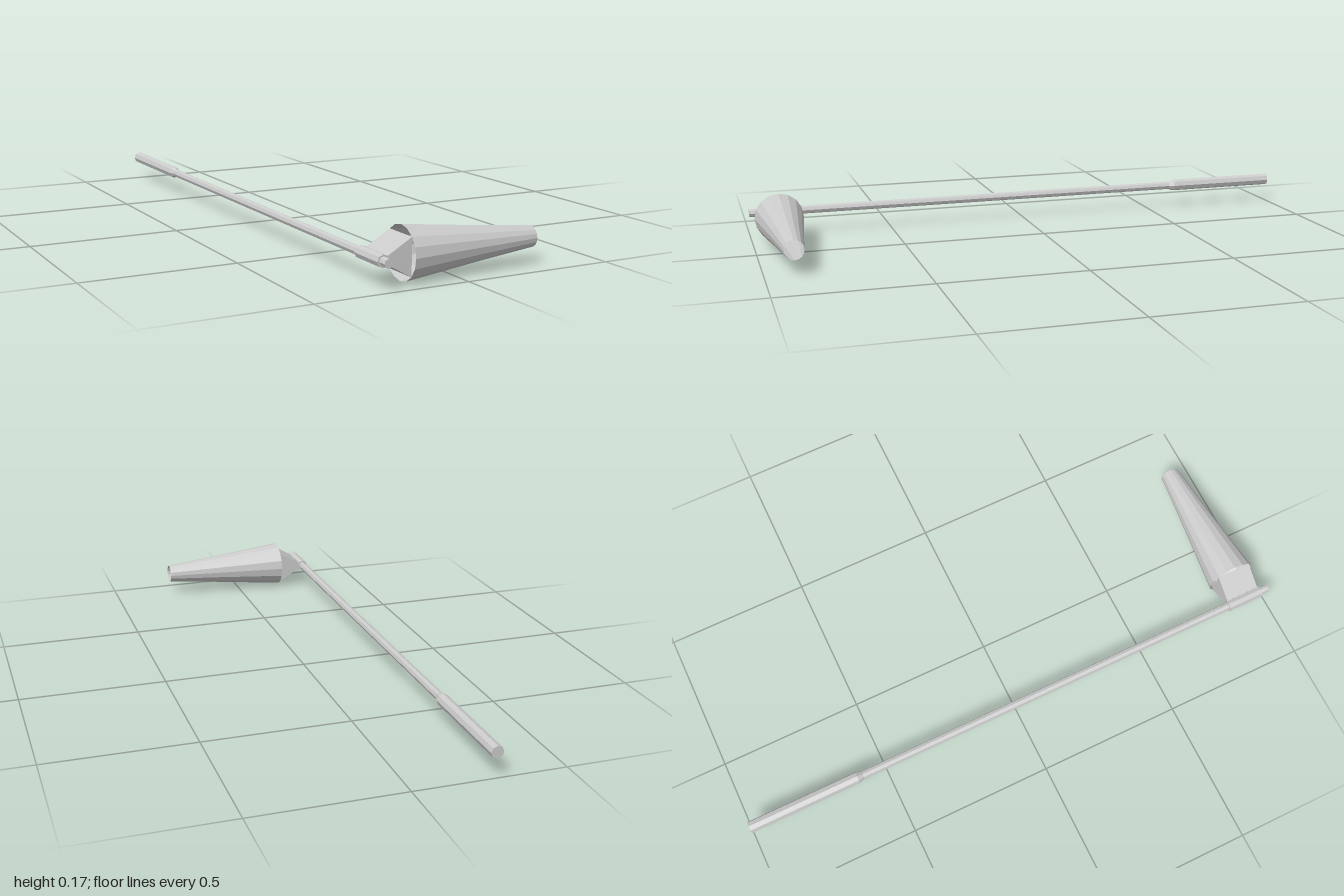
import * as THREE from 'three';

const AXIS_Y = 0.085, POLE_X = -0.267, SOCK_Z = 0.905;

function createMaterial() {
  return new THREE.MeshStandardMaterial({ color: 0xcccccc, flatShading: true, side: THREE.DoubleSide });
}

// Faceted turned part from [radius, height] pairs
function turned(name, profile, sides, material) {
  const points = profile.map(([r, h]) => new THREE.Vector2(r, h));
  const mesh = new THREE.Mesh(new THREE.LatheGeometry(points, sides), material);
  mesh.name = name;
  return mesh;
}

export function createModel() {
  const model = new THREE.Group();
  model.name = 'windsock';
  const material = createMaterial();

  // Long pole with a thicker base section, lying along z
  const pole = turned('pole', [
    [0, -1], [0.021, -1], [0.021, -0.605], [0.0145, -0.585], [0.0145, 1], [0, 1],
  ], 8, material);

  // Swivel sleeve near the pole tip
  const sleeve = turned('swivelSleeve', [
    [0.0145, 0.84], [0.02, 0.84], [0.02, 0.97], [0.0145, 0.97],
  ], 8, material);

  for (const part of [pole, sleeve]) {
    part.rotation.x = Math.PI / 2;
    part.position.set(POLE_X, AXIS_Y, 0);
    model.add(part);
  }

  // Wedge bracket between the sleeve and the sock mouth
  const outline = new THREE.Shape([
    new THREE.Vector2(-0.255, -0.011),
    new THREE.Vector2(-0.172, -0.059),
    new THREE.Vector2(-0.172, 0.059),
    new THREE.Vector2(-0.255, 0.011),
  ]);
  const bracket = new THREE.Mesh(
    new THREE.ExtrudeGeometry(outline, { depth: 0.122, bevelEnabled: false }), material);
  bracket.name = 'bracket';
  bracket.position.set(0, AXIS_Y, SOCK_Z - 0.061);
  model.add(bracket);

  // Open tapered fabric sock, pointing along +x
  const sock = turned('sock', [[0.084, -0.172], [0.0525, 0.1], [0.033, 0.287]], 16, material);
  sock.rotation.z = -Math.PI / 2;
  sock.position.set(0, AXIS_Y, SOCK_Z);
  model.add(sock);

  return model;
}
